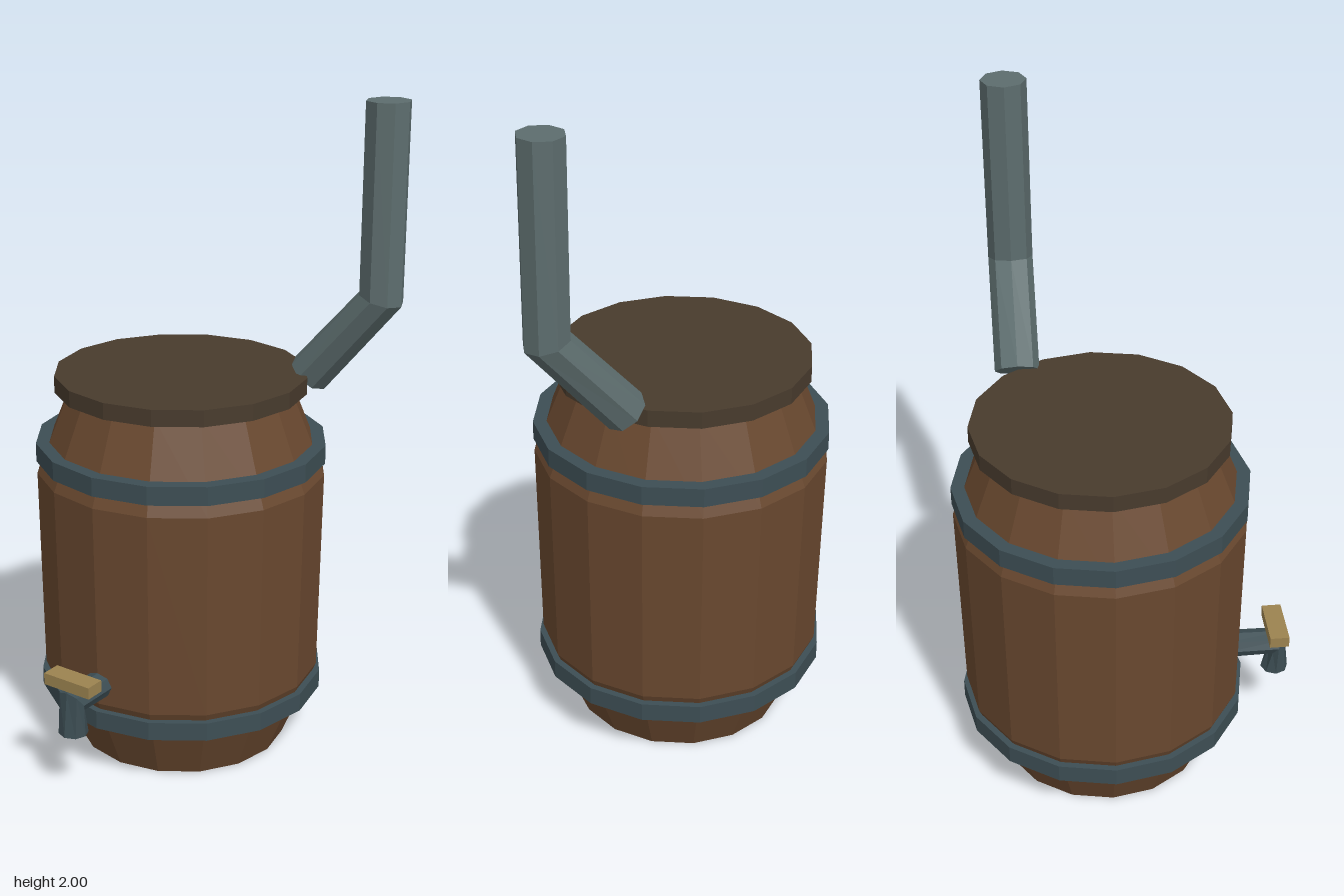
import * as THREE from 'three';

const mat = (name, color) => {
  const m = new THREE.MeshStandardMaterial({ color, flatShading: true });
  m.name = name;
  return m;
};

// Eight-sided capped pipe through rings of [centre, half axis u, half axis v]
function pipe(rings, sides = 8) {
  const pos = [], idx = [];
  for (const [c, u, v] of rings) {
    for (let j = 0; j < sides; j++) {
      const a = (j / sides) * Math.PI * 2;
      for (let k = 0; k < 3; k++) pos.push(c[k] + u[k] * Math.cos(a) + v[k] * Math.sin(a));
    }
  }
  const last = (rings.length - 1) * sides;
  for (let i = 0; i < last; i += sides) {
    for (let j = 0; j < sides; j++) {
      const a = i + j, b = i + ((j + 1) % sides);
      idx.push(a, b, a + sides, b, b + sides, a + sides);
    }
  }
  for (let j = 1; j < sides - 1; j++) idx.push(0, j + 1, j, last, last + j, last + j + 1);
  const g = new THREE.BufferGeometry();
  g.setAttribute('position', new THREE.Float32BufferAttribute(pos, 3));
  g.setIndex(idx);
  g.computeVertexNormals();
  return g;
}

export function createModel() {
  const wood = mat('barrel wood', 0x69482f);
  const lidWood = mat('lid wood', 0x483b2d);
  const iron = mat('dark iron', 0x3d4e54);
  const steel = mat('pipe steel', 0x5d6d6e);
  const brass = mat('handle tan', 0x9c8350);

  const model = new THREE.Group();
  model.name = 'barrelWithPipeAndTap';
  const add = (parent, name, geometry, material, x = 0, y = 0, z = 0) => {
    const mesh = new THREE.Mesh(geometry, material);
    mesh.name = name;
    mesh.position.set(x, y, z);
    parent.add(mesh);
  };

  // Barrel with its hoops and lid
  const barrel = new THREE.Group();
  barrel.name = 'barrel';
  barrel.position.set(-0.085, 0, -0.077);
  model.add(barrel);
  const profile = [[0, 0], [0.327, 0], [0.43, 0.25], [0.439, 0.88], [0.335, 1.14], [0, 1.14]]
    .map(([r, y]) => new THREE.Vector2(r, y));
  add(barrel, 'staves', new THREE.LatheGeometry(profile, 16), wood);
  for (const [name, y] of [['lowerHoop', 0.2], ['upperHoop', 0.947]]) {
    add(barrel, name, new THREE.CylinderGeometry(0.441, 0.441, 0.057, 16), iron, 0, y, 0);
  }
  add(barrel, 'lid', new THREE.CylinderGeometry(0.381, 0.381, 0.05, 16), lidWood, 0, 1.157, 0);

  // Bent pipe rising from the lid
  const out = [0, 0, 0.067];
  add(model, 'bentPipe', pipe([
    [[0.228, 1.172, -0.302], [-0.05, 0.043, 0], out],
    [[0.459, 1.437, -0.302], [-0.065, 0.017, 0], out],
    [[0.459, 2, -0.302], [-0.065, 0, 0], out],
  ]), steel);

  // Tap with a spout turned down and a bar handle
  const side = [-0.045, 0, 0];
  add(model, 'tapSpout', pipe([
    [[-0.085, 0.312, 0.3], [0, 0.041, 0], side],
    [[-0.085, 0.312, 0.476], [0, 0.037, 0.023], side],
    [[-0.085, 0.21, 0.472], [0, 0, 0.043], side],
  ]), iron);
  add(model, 'tapHandle', new THREE.BoxGeometry(0.164, 0.036, 0.06), brass, -0.086, 0.372, 0.469);

  return model;
}
